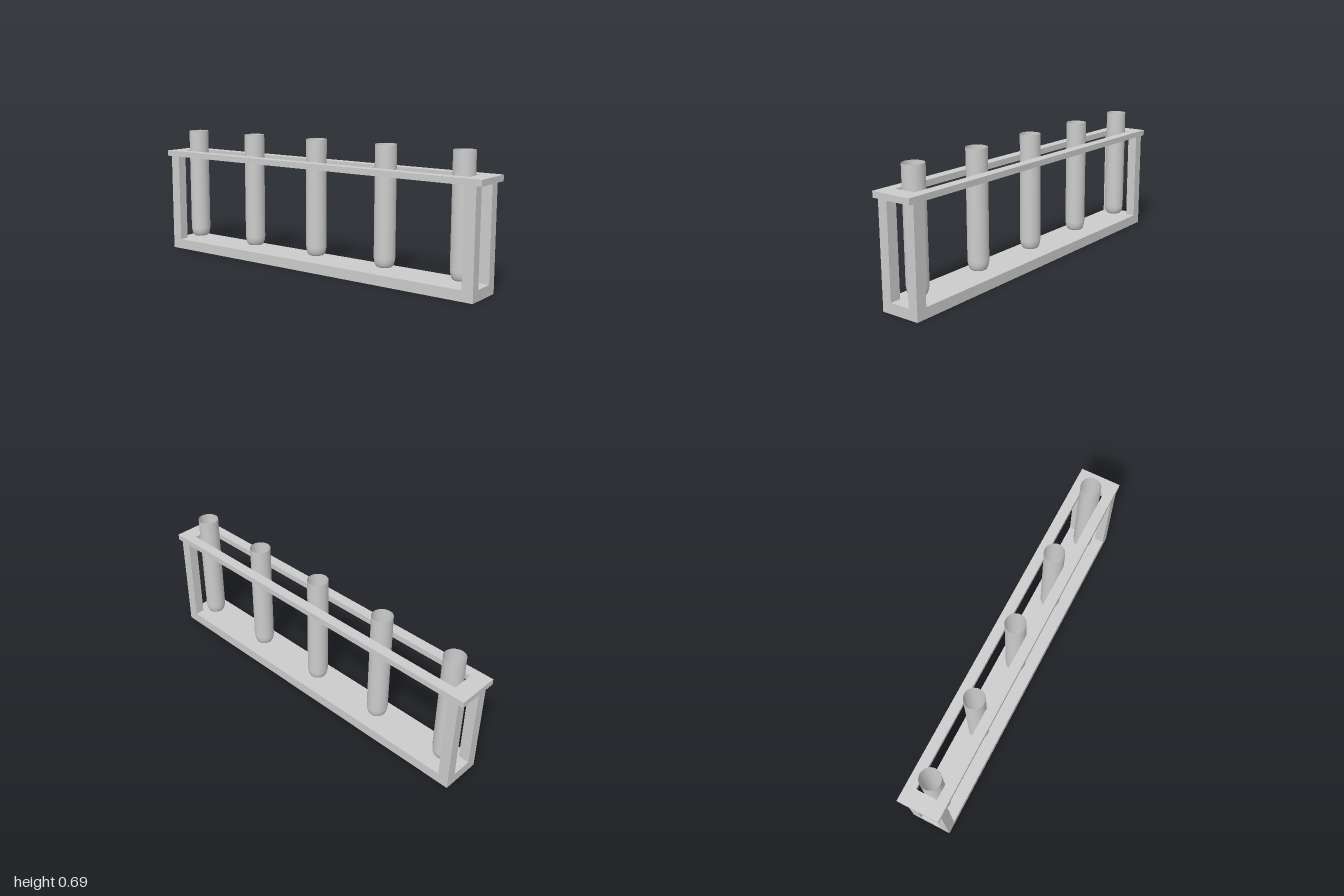
import * as THREE from 'three';

export function createModel() {
  const model = new THREE.Group();
  const grey = new THREE.MeshStandardMaterial({ color: 0xcccccc });
  const glass = new THREE.MeshStandardMaterial({ color: 0xcccccc, side: THREE.DoubleSide });

  const add = (name, geometry, material, x, y, z) => {
    const mesh = new THREE.Mesh(geometry, material);
    mesh.name = name;
    mesh.position.set(x, y, z);
    model.add(mesh);
    return mesh;
  };

  // Solid base slab
  add('base', new THREE.BoxGeometry(1.944, 0.055, 0.214), grey, 0, 0.0275, 0);

  // Four corner posts
  const post = new THREE.BoxGeometry(0.058, 0.485, 0.052);
  for (const x of [-0.943, 0.943])
    for (const z of [-0.081, 0.081]) add('cornerPost', post, grey, x, 0.2975, z);

  // Top frame with one long slot
  const rect = (path, w, d) => {
    path.moveTo(-w, -d);
    path.lineTo(w, -d);
    path.lineTo(w, d);
    path.lineTo(-w, d);
    path.closePath();
    return path;
  };
  const frame = rect(new THREE.Shape(), 1, 0.11);
  frame.holes.push(rect(new THREE.Path(), 0.912, 0.056));
  const frameGeometry = new THREE.ExtrudeGeometry(frame, { depth: 0.031, bevelEnabled: false });
  frameGeometry.rotateX(-Math.PI / 2);
  add('topFrame', frameGeometry, grey, 0, 0.54, 0);

  // Thin open test tubes with rounded lower edges
  const profile = [
    [0, 0.073], [0.037, 0.073], [0.042, 0.076], [0.047, 0.085],
    [0.051, 0.098], [0.054, 0.12], [0.054, 0.686],
  ].map(([r, y]) => new THREE.Vector2(r, y));
  const tube = new THREE.LatheGeometry(profile, 40);
  for (let i = -2; i <= 2; i++) add('testTube', tube, glass, i * 0.4275, 0, 0);

  return model;
}
